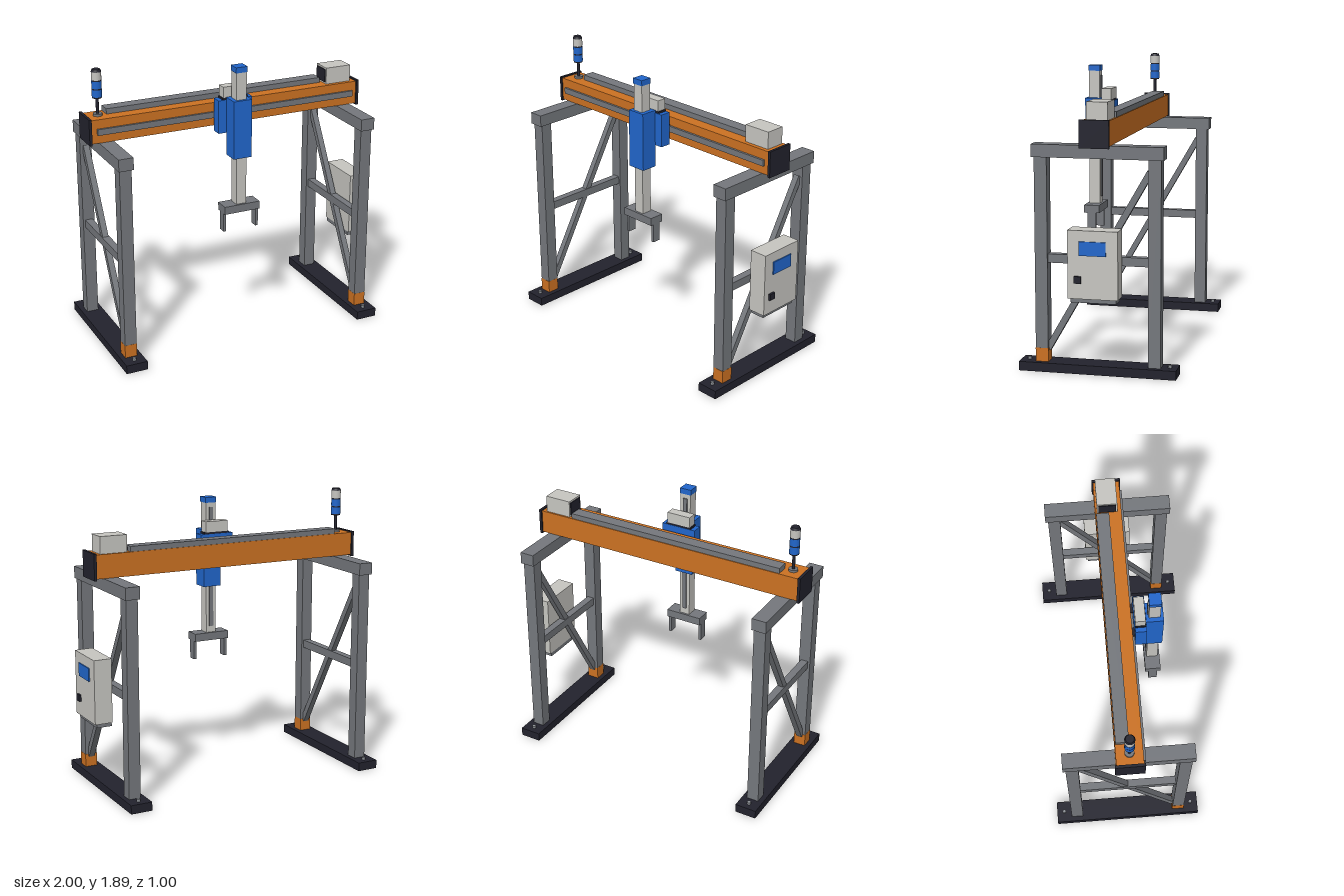
import * as THREE from 'three';

const mat = (name, color) => {
  const m = new THREE.MeshStandardMaterial({ color });
  m.name = name;
  return m;
};

export function createModel() {
  const orange = mat('orange paint', 0xcb7122);
  const steel = mat('grey steel', 0x74777c);
  const dark = mat('dark rubber', 0x22222d);
  const light = mat('light grey casing', 0xc6c5c0);
  const blue = mat('blue paint', 0x2166cb);
  const zinc = mat('zinc bolts', 0x8c9096);

  const model = new THREE.Group();
  model.name = 'gantryRobot';
  const group = (name) => {
    const g = new THREE.Group();
    g.name = name;
    model.add(g);
    return g;
  };

  // Box given by its extents on each axis
  const box = (parent, name, m, [x0, x1], [y0, y1], [z0, z1]) => {
    const mesh = new THREE.Mesh(new THREE.BoxGeometry(x1 - x0, y1 - y0, z1 - z0), m);
    mesh.position.set((x0 + x1) / 2, (y0 + y1) / 2, (z0 + z1) / 2);
    mesh.name = name;
    parent.add(mesh);
    return mesh;
  };
  // Upright cylinder from y0 to y1
  const cyl = (parent, name, m, x, z, y0, y1, r, rTop = r, sides = 24) => {
    const mesh = new THREE.Mesh(new THREE.CylinderGeometry(rTop, r, y1 - y0, sides), m);
    mesh.position.set(x, (y0 + y1) / 2, z);
    mesh.name = name;
    parent.add(mesh);
    return mesh;
  };

  // Two portal legs
  for (const [name, x] of [['rightLegFrame', -0.885], ['leftLegFrame', 0.825]]) {
    const g = group(name);
    const span = (w) => [x - w / 2, x + w / 2];
    box(g, 'footBeam', dark, span(0.145), [0, 0.058], [-0.5, 0.5]);
    for (const s of [-1, 1]) {
      const z = s * 0.358;
      box(g, 'column', steel, span(0.08), [s > 0 ? 0.145 : 0.058, 1.35], [z - 0.04, z + 0.04]);
      cyl(g, 'anchorBolt', zinc, x, s * 0.45, 0.058, 0.075, 0.013, 0.013, 6);
    }
    box(g, 'columnGuard', orange, span(0.082), [0.058, 0.145], [0.317, 0.399]);
    box(g, 'capBeam', steel, span(0.098), [1.35, 1.43], [-0.415, 0.415]);
    box(g, 'crossRail', steel, span(0.05), [0.69, 0.745], [-0.32, 0.32]);
    // Diagonal brace from the front foot to the rear top
    const dz = -0.65, dy = 1.135;
    const brace = new THREE.Mesh(new THREE.BoxGeometry(0.04, Math.hypot(dz, dy), 0.04), steel);
    brace.position.set(x, 0.705, 0);
    brace.rotation.x = Math.atan2(dz, dy);
    brace.name = 'diagonalBrace';
    g.add(brace);
  }

  // Cross beam with guide rail, cable tray and end plates
  const beam = group('crossBeam');
  box(beam, 'beam', orange, [-0.982, 0.922], [1.43, 1.585], [-0.085, 0.085]);
  for (const x of [-0.99, 0.932]) {
    box(beam, 'endPlate', dark, [x - 0.009, x + 0.009], [1.42, 1.593], [-0.093, 0.093]);
  }
  box(beam, 'guideRail', steel, [-0.945, 0.89], [1.485, 1.525], [0.085, 0.1]);
  box(beam, 'cableTray', steel, [-0.85, 0.685], [1.585, 1.62], [-0.08, 0.003]);

  // Beam drive
  const drive = group('beamDrive');
  box(drive, 'driveHousing', light, [0.706, 0.89], [1.585, 1.697], [-0.073, 0.058]);
  box(drive, 'drivePlate', dark, [0.7, 0.706], [1.597, 1.685], [-0.063, 0.048]);

  // Signal tower
  const tower = group('signalTower');
  const tx = -0.907;
  cyl(tower, 'towerBase', steel, tx, 0, 1.585, 1.6, 0.03);
  cyl(tower, 'towerPole', dark, tx, 0, 1.6, 1.707, 0.01);
  [[1.71, 1.757, blue], [1.765, 1.812, blue], [1.82, 1.872, light]].forEach(([y0, y1, m]) => {
    cyl(tower, 'towerCollar', dark, tx, 0, y0 - 0.008, y0, 0.031);
    cyl(tower, 'towerLamp', m, tx, 0, y0, y1, 0.032);
  });
  cyl(tower, 'towerCap', dark, tx, 0, 1.872, 1.888, 0.033, 0.026);

  // Carriage running on the guide rail
  const carriage = group('carriage');
  box(carriage, 'carriageBody', blue, [-0.15, 0.09], [1.4, 1.622], [0.102, 0.175]);
  for (const x of [-0.11, 0.05]) {
    box(carriage, 'bearingBlock', dark, [x - 0.03, x + 0.03], [1.478, 1.532], [0.086, 0.102]);
  }
  box(carriage, 'motorPlate', dark, [-0.12, 0.06], [1.622, 1.635], [0.105, 0.17]);
  box(carriage, 'liftMotor', light, [-0.113, 0.053], [1.635, 1.707], [0.103, 0.168]);
  box(carriage, 'ramHousing', blue, [-0.095, 0.033], [1.25, 1.64], [0.173, 0.285]);

  // Vertical ram
  const ram = group('ram');
  box(ram, 'ramColumn', light, [-0.067, 0.005], [0.925, 1.82], [0.192, 0.265]);
  box(ram, 'ramCap', blue, [-0.071, 0.009], [1.82, 1.857], [0.19, 0.268]);
  box(ram, 'ramRail', steel, [-0.045, -0.017], [0.97, 1.79], [0.184, 0.192]);

  // Gripper
  const gripper = group('gripper');
  box(gripper, 'palm', steel, [-0.156, 0.096], [0.873, 0.926], [0.177, 0.28]);
  for (const x of [-0.147, 0.087]) {
    box(gripper, 'finger', steel, [x - 0.009, x + 0.009], [0.745, 0.873], [0.2, 0.258]);
  }

  // Control cabinet on the left leg
  const cabinet = group('controlCabinet');
  box(cabinet, 'cabinetBody', light, [0.865, 0.985], [0.503, 0.927], [-0.157, 0.157]);
  box(cabinet, 'cabinetBracket', steel, [0.865, 0.968], [0.476, 0.503], [-0.142, 0.142]);
  box(cabinet, 'screen', blue, [0.985, 0.993], [0.773, 0.86], [-0.083, 0.083]);
  box(cabinet, 'switch', dark, [0.985, 1.0], [0.601, 0.645], [0.071, 0.115]);

  return model;
}
